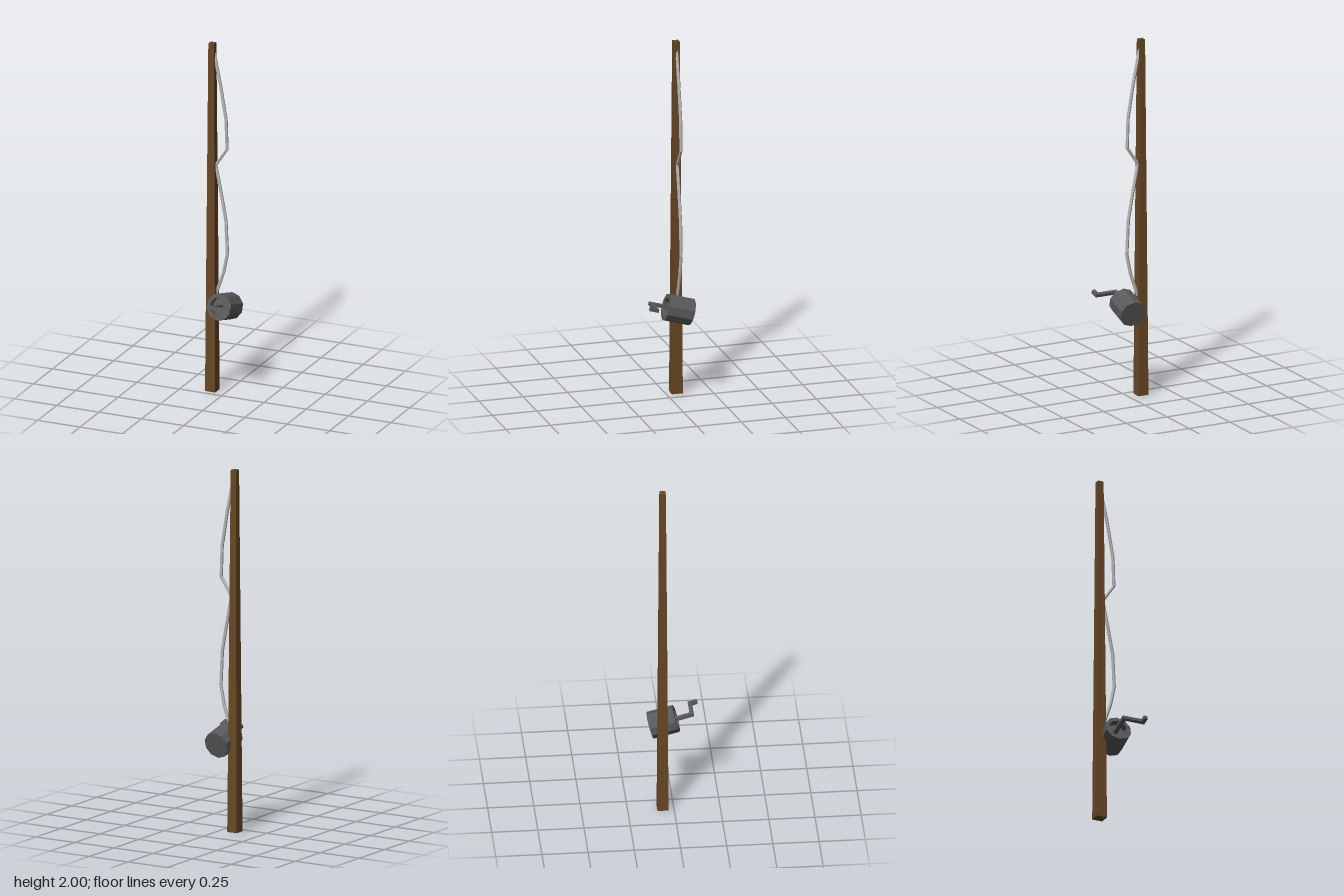
import * as THREE from 'three';

const material = (color) => new THREE.MeshStandardMaterial({ color, flatShading: true });

export function createModel() {
  const model = new THREE.Group();
  const wood = material(0x684724);
  const metal = material(0x5a5a5a);
  const thread = material(0xb8b8b8);

  const add = (parent, name, geometry, mat, x = 0, y = 0, z = 0) => {
    const mesh = new THREE.Mesh(geometry, mat);
    mesh.name = name;
    mesh.position.set(x, y, z);
    parent.add(mesh);
    return mesh;
  };

  // Square pole, narrower at the top
  const poleGeometry = new THREE.BoxGeometry(0.06, 2, 0.06);
  const p = poleGeometry.attributes.position;
  for (let i = 0; i < p.count; i++) {
    if (p.getY(i) > 0) p.setXYZ(i, p.getX(i) * 0.55, 1, p.getZ(i) * 0.55);
  }
  poleGeometry.computeVertexNormals();
  add(model, 'pole', poleGeometry, wood, -0.082, 1, -0.06);

  // Slack line, tied to the pole at three heights
  const path = new THREE.CatmullRomCurve3([
    [-0.06, 0.56], [-0.016, 0.69], [0.006, 0.8], [-0.003, 0.99], [-0.03, 1.14],
    [-0.062, 1.3], [0.004, 1.4], [-0.002, 1.57], [-0.034, 1.76], [-0.076, 1.96],
  ].map(([x, y]) => new THREE.Vector3(x, y, -0.062)));
  // One straight section between each pair of points
  path.getPointAt = path.getPoint;
  path.getTangentAt = path.getTangent;
  add(model, 'line', new THREE.TubeGeometry(path, 9, 0.009, 6), thread);

  // Reel, tipped upwards at the front
  const reel = new THREE.Group();
  reel.name = 'reel';
  reel.position.set(-0.004, 0.497, -0.05);
  reel.rotation.x = -0.28;
  model.add(reel);

  // Drum with a recessed front
  const profile = [
    [0, -0.073], [0.075, -0.073], [0.075, 0.073],
    [0.053, 0.073], [0.053, 0.035], [0, 0.035],
  ].map(([r, y]) => new THREE.Vector2(r, y));
  const drum = add(reel, 'drum', new THREE.LatheGeometry(profile, 10).rotateX(Math.PI / 2), metal);
  drum.rotation.y = -0.05;

  // Crank: shaft, arm and grip
  add(reel, 'crankShaft', new THREE.BoxGeometry(0.023, 0.018, 0.14), metal, -0.008, 0, 0.1);
  add(reel, 'crankArm', new THREE.BoxGeometry(0.133, 0.018, 0.02), metal, 0.047, 0, 0.16);
  add(reel, 'crankGrip', new THREE.BoxGeometry(0.021, 0.02, 0.048), metal, 0.103, 0, 0.176);

  return model;
}
